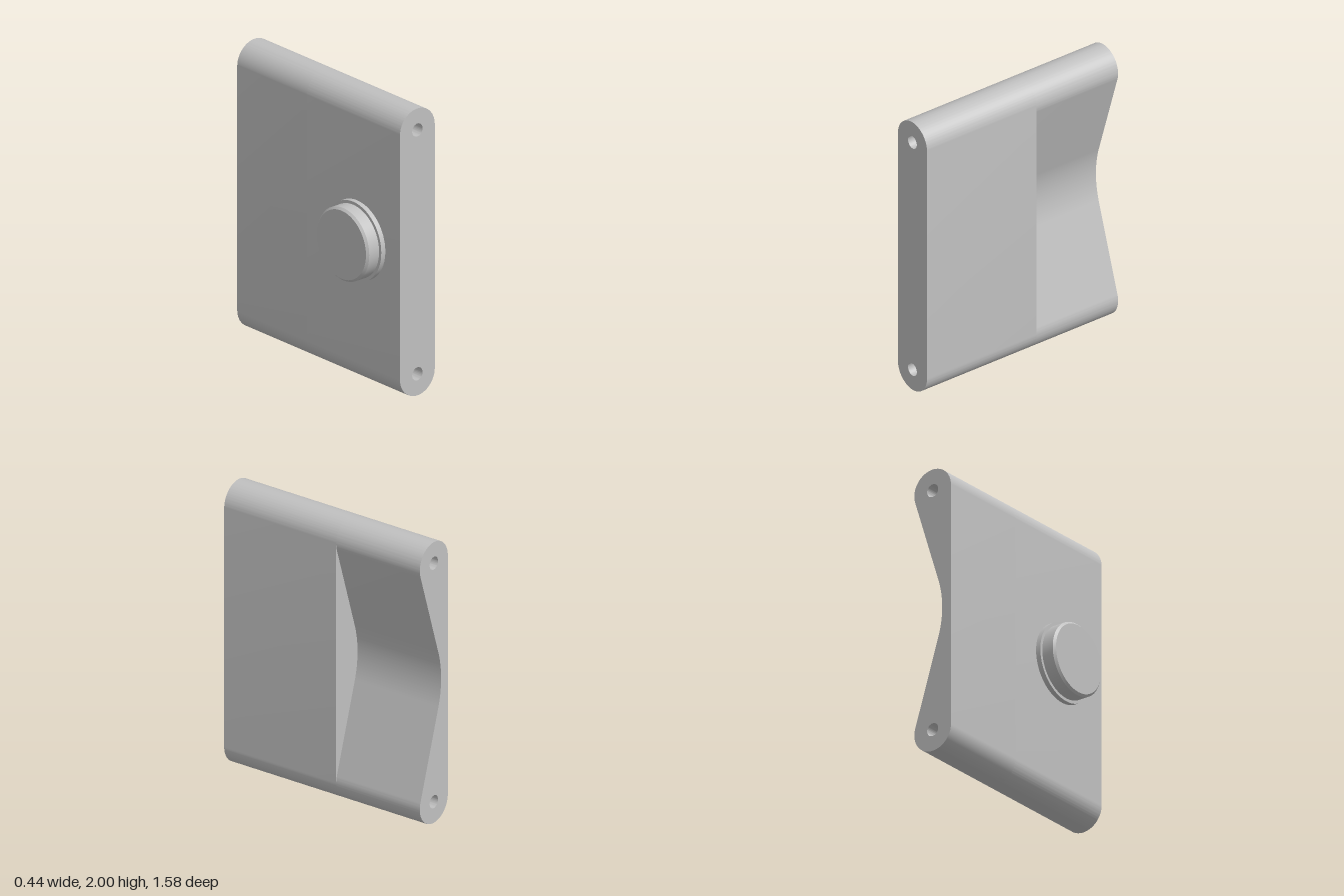
import * as THREE from 'three';
import { toCreasedNormals } from 'three/addons/utils/BufferGeometryUtils.js';

const CX = 0.065, R = 0.15, TOP = 1.85, BOTTOM = 0.15; // rounded slab section
const FRONT = 0.79, STEP = -0.115, BACK = -0.79;

// Rounded slab section; with a tilt, the +x side is scooped between tangent lines
function section(tilt = 0) {
  const s = new THREE.Shape();
  s.absarc(CX, TOP, R, -tilt, Math.PI, false);
  s.absarc(CX, BOTTOM, R, Math.PI, 2 * Math.PI + tilt, false);
  if (tilt) {
    const scoop = 0.665;
    const x = CX + (R + scoop - (TOP - 1) * Math.sin(tilt)) / Math.cos(tilt);
    s.absarc(x, 1, scoop, Math.PI + tilt, Math.PI - tilt, true);
  }
  s.closePath();
  // Screw holes running the full depth
  for (const y of [TOP, BOTTOM]) {
    s.holes.push(new THREE.Path().absarc(CX, y, 0.045, 0, 2 * Math.PI, true));
  }
  return s;
}

function slab(name, shape, z0, z1, material) {
  const geo = new THREE.ExtrudeGeometry(shape, { depth: z1 - z0, bevelEnabled: false, curveSegments: 32 });
  geo.translate(0, 0, z0);
  const mesh = new THREE.Mesh(toCreasedNormals(geo, 0.5), material);
  mesh.name = name;
  return mesh;
}

export function createModel() {
  const grey = new THREE.MeshStandardMaterial({ color: 0xc0c0c0 });
  grey.name = 'grey';

  const model = new THREE.Group();
  model.name = 'housing';
  model.add(slab('frontBody', section(), STEP, FRONT, grey));
  model.add(slab('scoopedBackBody', section(0.305), BACK, STEP, grey));

  // Round button with a flange, turned to point towards -x
  const profile = [
    [0.273, 0], [0.273, 0.035], [0.252, 0.035], [0.252, 0.12], [0.237, 0.135], [0, 0.135],
  ].map(([r, y]) => new THREE.Vector2(r, y));
  const button = new THREE.Mesh(toCreasedNormals(new THREE.LatheGeometry(profile, 64), 0.5), grey);
  button.name = 'button';
  button.rotation.z = Math.PI / 2;
  button.position.set(CX - R, 1, 0.375);
  model.add(button);

  return model;
}
